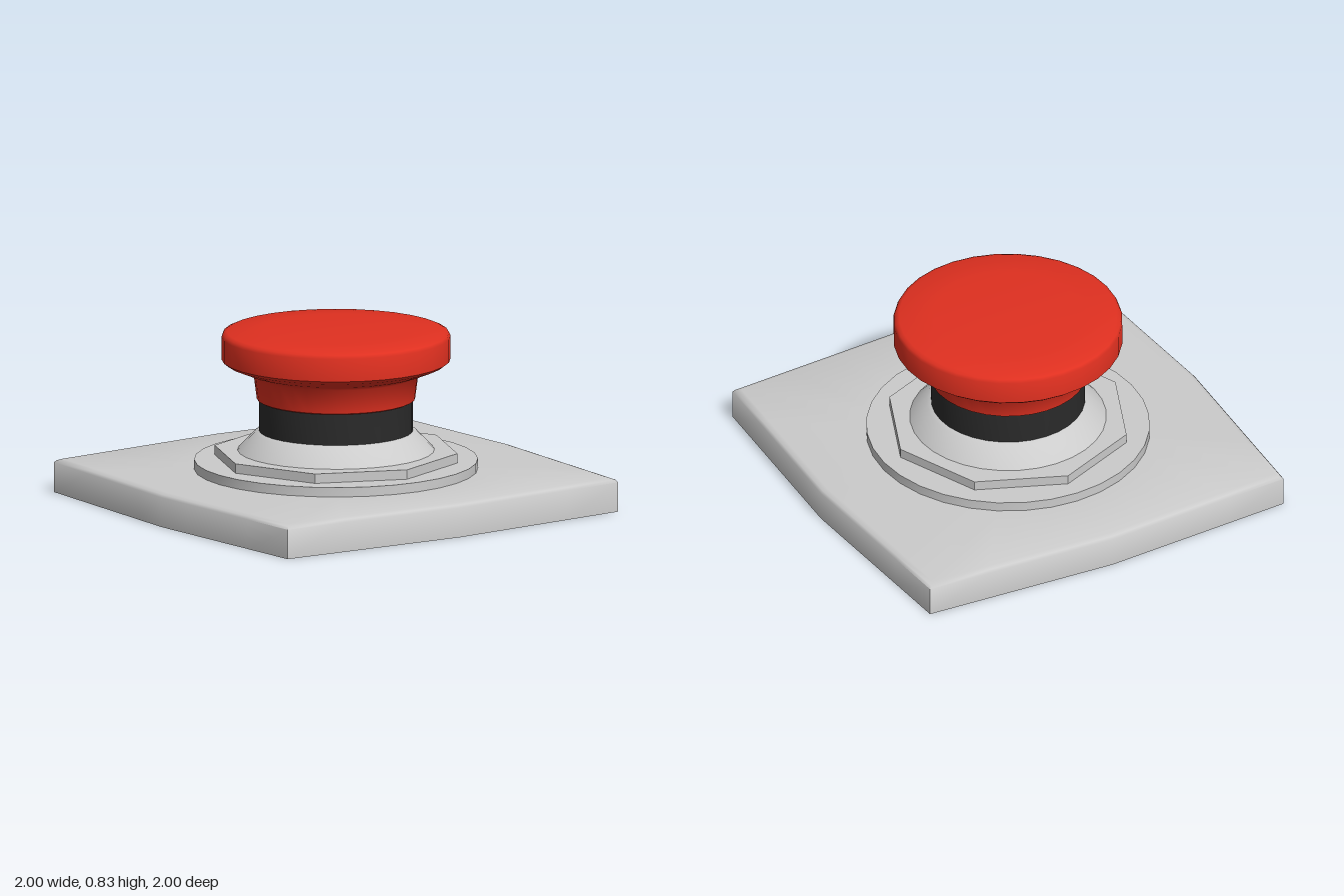
import * as THREE from 'three';
import { toCreasedNormals } from 'three/addons/utils/BufferGeometryUtils.js';

const SEGMENTS = 32;
const material = (color) => new THREE.MeshStandardMaterial({ color, side: THREE.DoubleSide });
const grey = material(0xcccccc), black = material(0x2a2a2a), red = material(0xe03020);

// Outlines as radius by angle; each repeats every 45 or 90 degrees
const circle = (radius) => () => radius;
const octagon = (radius) => (t) =>
  radius * Math.cos(Math.PI / 8) / Math.cos((t % (Math.PI / 4)) - Math.PI / 8);
const bowedSquare = (half) => (t) => {
  const m = t % (Math.PI / 2);
  const a = Math.min(m, Math.PI / 2 - m);
  return half / (Math.cos(a) + 0.058 * Math.sin(a));
};

// Open shell through a stack of [outline, height] sections
function loft(sections, crease) {
  const positions = [], index = [];
  for (const [outline, y] of sections) {
    for (let j = 0; j < SEGMENTS; j++) {
      const t = (j / SEGMENTS) * Math.PI * 2, r = outline(t);
      positions.push(r * Math.sin(t), y, r * Math.cos(t));
    }
  }
  for (let i = 0; i < sections.length - 1; i++) {
    for (let j = 0; j < SEGMENTS; j++) {
      const k = (j + 1) % SEGMENTS;
      const a = i * SEGMENTS + j, b = i * SEGMENTS + k;
      const c = b + SEGMENTS, d = a + SEGMENTS;
      index.push(a, b, c, a, c, d);
    }
  }
  const geometry = new THREE.BufferGeometry();
  geometry.setAttribute('position', new THREE.Float32BufferAttribute(positions, 3));
  geometry.setIndex(index);
  return toCreasedNormals(geometry, crease);
}

function lathe(points) {
  const profile = points.map(([r, y]) => new THREE.Vector2(r, y));
  return toCreasedNormals(new THREE.LatheGeometry(profile, SEGMENTS), 0.8);
}

export function createModel() {
  const group = new THREE.Group();
  const add = (name, geometry, mat) => {
    const mesh = new THREE.Mesh(geometry, mat);
    mesh.name = name;
    group.add(mesh);
  };

  // Hollow plate with bowed sides, a soft top edge and a round opening
  add('basePlate', loft([
    [bowedSquare(1), 0], [bowedSquare(1), 0.14],
    [bowedSquare(0.99), 0.152], [bowedSquare(0.968), 0.16], [circle(0.663), 0.16],
  ], 1.2), grey);

  // Round step
  add('roundFlange', loft([
    [circle(0.663), 0.16], [circle(0.663), 0.205], [octagon(0.575), 0.205],
  ], 0.6), grey);

  // Eight-sided step
  add('octagonNut', loft([
    [octagon(0.575), 0.205], [octagon(0.575), 0.25], [circle(0.46), 0.25],
  ], 0.6), grey);

  // Sloped collar
  add('collar', lathe([[0.46, 0.25], [0.38, 0.334], [0.36, 0.343]]), grey);

  // Dark sleeve below the button
  add('sleeve', lathe([[0.36, 0.343], [0.36, 0.49]]), black);

  // Mushroom button, open underneath
  add('buttonCap', lathe([
    [0.36, 0.49], [0.37, 0.495], [0.385, 0.61], [0.4, 0.622], [0.44, 0.635],
    [0.515, 0.666], [0.535, 0.682], [0.535, 0.79], [0.528, 0.806], [0.51, 0.814],
    [0.35, 0.823], [0.18, 0.829], [0, 0.831],
  ]), red);

  return group;
}
